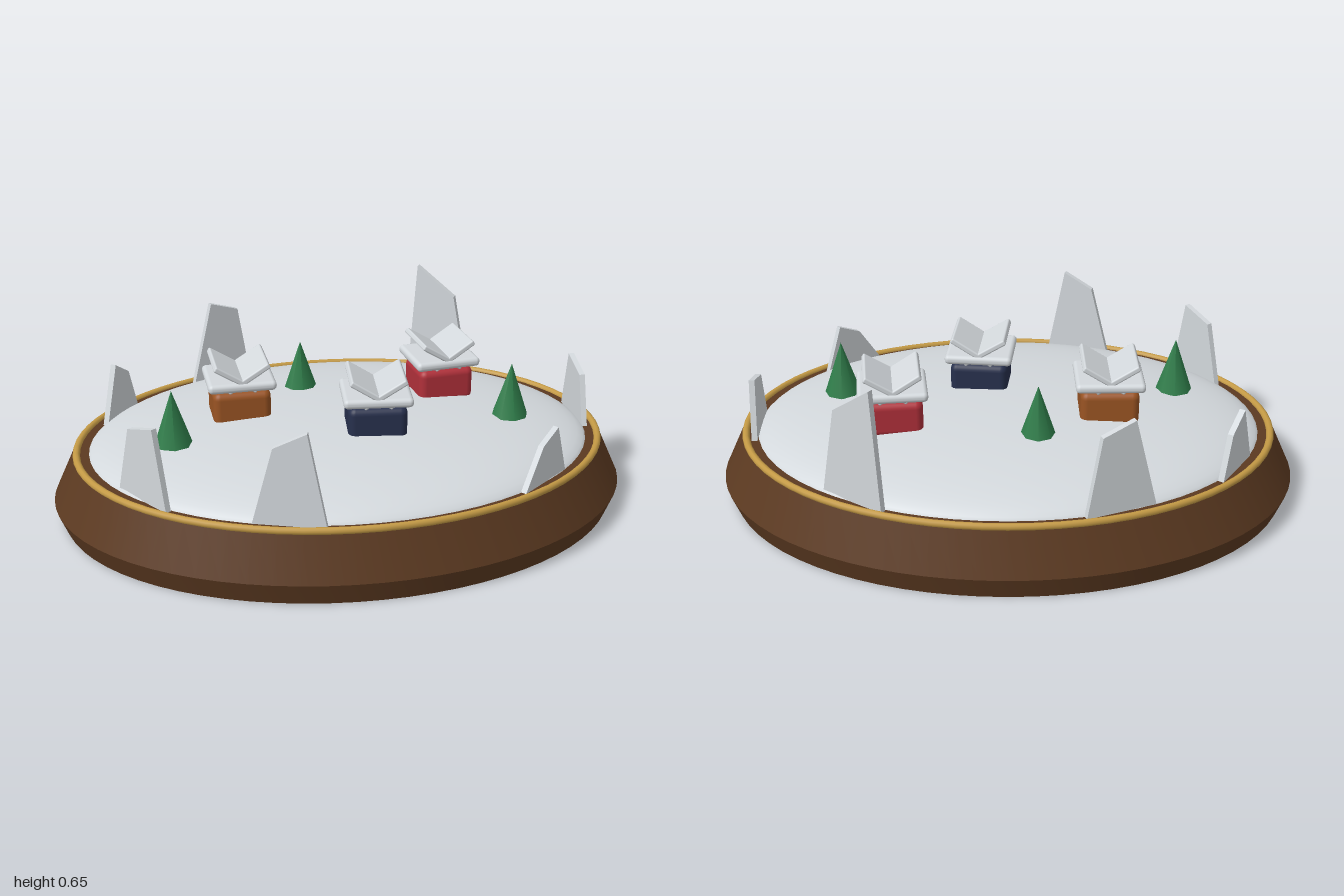
import * as THREE from 'three';
import { toCreasedNormals } from 'three/addons/utils/BufferGeometryUtils.js';
import { RoundedBoxGeometry } from 'three/addons/geometries/RoundedBoxGeometry.js';

const material = (name, color) => {
  const m = new THREE.MeshStandardMaterial({ color });
  m.name = name;
  return m;
};

export function createModel() {
  const model = new THREE.Group();
  model.name = 'snowyVillageTray';

  const wood = material('brownWood', 0x5c3a21);
  const gold = material('goldTrim', 0xc49a45);
  const snow = material('snowWhite', 0xd3d8dc);
  const green = material('pineGreen', 0x2f7d4a);
  const red = material('houseRed', 0xb0303a);
  const navy = material('houseNavy', 0x27304d);
  const orange = material('houseOrange', 0x9a5423);

  const add = (parent, name, geometry, mat, x = 0, y = 0, z = 0) => {
    const mesh = new THREE.Mesh(geometry, mat);
    mesh.name = name;
    mesh.position.set(x, y, z);
    parent.add(mesh);
    return mesh;
  };

  // Oval wooden base
  const profile = [[0, 0], [0.97, 0], [1, 0.075], [0.925, 0.235], [0, 0.235]]
    .map(([r, y]) => new THREE.Vector2(r, y));
  const baseGeometry = new THREE.LatheGeometry(profile, 72).scale(1, 1, 0.75);
  add(model, 'base', toCreasedNormals(baseGeometry, 0.5), wood);

  // Gold rim
  const rim = new THREE.TorusGeometry(0.915, 0.013, 10, 72).rotateX(Math.PI / 2).scale(1, 1, 0.755);
  add(model, 'rim', rim, gold, 0, 0.234, 0);

  // Low snow mound
  const mound = new THREE.SphereGeometry(1, 64, 16, 0, Math.PI * 2, 0, Math.PI / 2).scale(0.88, 0.12, 0.665);
  add(model, 'snowMound', mound, snow, 0, 0.22, 0);

  // Thin peaks around the edge: left end, right end (seen from outside),
  // then the low and high top corners as [fraction along base, height]
  const peaks = [
    [[0.87, 0.09], [0.87, -0.14], [0.27, 0.41], [0.8, 0.445]],
    [[0.59, -0.465], [0.39, -0.605], [0.26, 0.545], [0.87, 0.65]],
    [[-0.24, -0.64], [-0.47, -0.545], [0.2, 0.51], [0.65, 0.55]],
    [[-0.69, -0.42], [-0.81, -0.23], [0.25, 0.385], [0.63, 0.44]],
    [[-0.775, 0.27], [-0.635, 0.47], [0.28, 0.47], [0.78, 0.505]],
    [[-0.39, 0.58], [-0.16, 0.66], [0.3, 0.495], [0.74, 0.55]],
    [[0.49, 0.555], [0.685, 0.395], [0.4, 0.37], [0.74, 0.41]],
  ];
  const thickness = 0.02;
  for (const [left, right, low, high] of peaks) {
    const dx = right[0] - left[0], dz = right[1] - left[1];
    const width = Math.hypot(dx, dz);
    const outline = new THREE.Shape([
      new THREE.Vector2(0, 0.22), new THREE.Vector2(width, 0.22),
      new THREE.Vector2(high[0] * width, high[1]), new THREE.Vector2(low[0] * width, low[1]),
    ]);
    const geometry = new THREE.ExtrudeGeometry(outline, { depth: thickness, bevelEnabled: false })
      .translate(0, 0, -thickness / 2);
    add(model, 'peak', geometry, snow, left[0], 0, left[1]).rotation.y = Math.atan2(-dz, dx);
  }

  // Cabins with a snow slab and two crossed roof boards
  const bodyGeometry = new RoundedBoxGeometry(0.2, 0.125, 0.18, 3, 0.025);
  const slabGeometry = new RoundedBoxGeometry(0.235, 0.033, 0.215, 3, 0.015);
  const boardGeometry = new RoundedBoxGeometry(0.17, 0.02, 0.2, 2, 0.006);
  const cabins = [
    [red, 0.39, -0.15, 0.11],
    [navy, 0.095, 0.145, -0.1],
    [orange, -0.343, -0.075, 0.02],
  ];
  for (const [paint, x, z, turn] of cabins) {
    const cabin = new THREE.Group();
    cabin.name = 'cabin';
    cabin.position.set(x, 0, z);
    cabin.rotation.y = turn;
    add(cabin, 'cabinBody', bodyGeometry, paint, 0, 0.365, 0);
    add(cabin, 'roofSlab', slabGeometry, snow, 0, 0.451, 0);
    for (const side of [-1, 1]) {
      add(cabin, 'roofBoard', boardGeometry, snow, side * 0.022, 0.48, 0).rotation.z = side * 0.56;
    }
    model.add(cabin);
  }

  // Pine trees
  const pineGeometry = new THREE.ConeGeometry(0.064, 0.19, 8);
  for (const [x, z] of [[-0.59, 0.12], [-0.1, -0.25], [0.585, 0.095]]) {
    add(model, 'pineTree', pineGeometry, green, x, 0.405, z);
  }

  return model;
}
